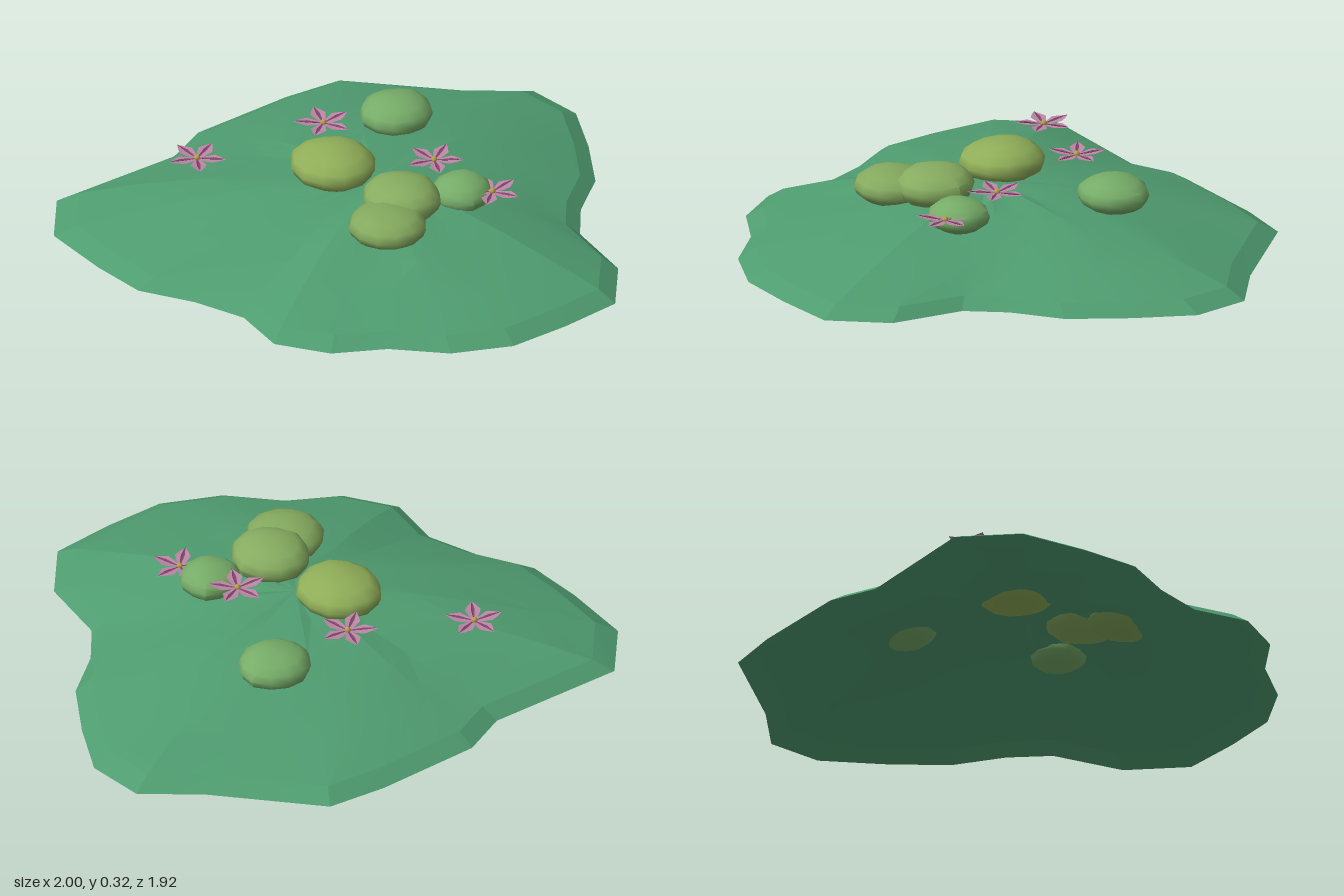
import * as THREE from 'three';
import { toCreasedNormals } from 'three/addons/utils/BufferGeometryUtils.js';

const mat = (color, side = THREE.FrontSide) => new THREE.MeshStandardMaterial({ color, side });

// Irregular outline of the mound on the ground, [x, z]
const OUTLINE = [
  [-0.77, -0.96], [-0.25, -0.89], [-0.07, -0.95], [0.33, -0.91], [0.55, -0.86],
  [0.82, -0.5], [1, -0.32], [1, -0.1], [0.87, 0.1], [0.72, 0.29], [0.54, 0.4],
  [0.42, 0.52], [0.35, 0.79], [0.17, 0.96], [-0.07, 0.95], [-0.3, 0.92],
  [-0.5, 0.8], [-0.64, 0.62], [-0.81, 0.5], [-0.91, 0.31], [-0.86, 0.1],
  [-0.91, -0.1], [-1, -0.3], [-0.99, -0.52], [-0.95, -0.79],
];
// Mound profile from rim to crown: [fraction of radius, height]
const PROFILE = [[1, 0], [0.93, 0.04], [0.75, 0.092], [0.55, 0.142], [0.36, 0.182], [0.17, 0.203]];
const CROWN = [-0.08, 0.21, -0.02];

// Open shell: rings shrink toward the crown, with slight radial ridges
function moundGeometry() {
  const n = OUTLINE.length, pos = [], index = [];
  PROFILE.forEach(([t, h], k) => OUTLINE.forEach(([x, z], i) => {
    const ridge = k > 1 ? 0.005 * Math.sin(i * 2.3 + k * 0.8) : 0;
    pos.push(CROWN[0] + (x - CROWN[0]) * t, h + ridge, CROWN[2] + (z - CROWN[2]) * t);
  }));
  pos.push(...CROWN);
  const last = PROFILE.length - 1, top = n * PROFILE.length;
  for (let i = 0; i < n; i++) {
    const j = (i + 1) % n;
    for (let k = 0; k < last; k++) {
      const a = k * n + i, b = k * n + j;
      index.push(a, a + n, b, b, a + n, b + n);
    }
    index.push(last * n + i, top, last * n + j);
  }
  const g = new THREE.BufferGeometry();
  g.setAttribute('position', new THREE.Float32BufferAttribute(pos, 3));
  g.setIndex(index);
  return toCreasedNormals(g, 0.2);
}

// Flattened, slightly lumpy pad
function padGeometry(seed) {
  const g = new THREE.SphereGeometry(1, 12, 8);
  const p = g.attributes.position, v = new THREE.Vector3();
  for (let i = 0; i < p.count; i++) {
    v.fromBufferAttribute(p, i);
    v.multiplyScalar(1 + 0.035 * Math.sin(4 * v.x + seed) * Math.cos(5 * v.z + seed * 2));
    p.setXYZ(i, v.x, v.y, v.z);
  }
  g.computeVertexNormals();
  return toCreasedNormals(g, 0.75);
}

// Pointed petal along +z, folded along its middle and lifted at the tip
function petalGeometry(width, lift) {
  const rows = [[0, 0.2], [0.035, 0.7], [0.06, 1], [0.085, 0.55], [0.108, 0]];
  const pos = [], index = [];
  rows.forEach(([z, w]) => {
    const y = lift + 0.9 * z * z;
    pos.push(-w * width, y + w * 0.005, z, 0, y, z, w * width, y + w * 0.005, z);
  });
  for (let r = 0; r < rows.length - 1; r++) {
    for (let c = 0; c < 2; c++) {
      const a = r * 3 + c;
      index.push(a, a + 3, a + 1, a + 1, a + 3, a + 4);
    }
  }
  const g = new THREE.BufferGeometry();
  g.setAttribute('position', new THREE.Float32BufferAttribute(pos, 3));
  g.setIndex(index);
  g.computeVertexNormals();
  return g;
}

export function createModel() {
  const model = new THREE.Group();
  model.name = 'floweringMound';
  const add = (parent, name, geometry, material) => {
    const mesh = new THREE.Mesh(geometry, material);
    mesh.name = name;
    parent.add(mesh);
    return mesh;
  };

  add(model, 'mound', moundGeometry(), mat(0x4f9c70, THREE.DoubleSide));

  // Rounded pads: x, y, z, radii x, y, z, colour
  [
    [-0.16, 0.245, -0.16, 0.152, 0.075, 0.162, 0x8fae58],
    [-0.14, 0.238, 0.175, 0.142, 0.073, 0.15, 0x86ac60],
    [-0.285, 0.215, 0.25, 0.143, 0.066, 0.146, 0x84a95e],
    [0.085, 0.206, 0.255, 0.113, 0.064, 0.11, 0x76ac68],
    [0.293, 0.213, -0.3, 0.13, 0.068, 0.136, 0x76ac68],
  ].forEach(([x, y, z, rx, ry, rz, color], i) => {
    const pad = add(model, `pad${i + 1}`, padGeometry(i * 1.7), mat(color));
    pad.position.set(x, y, z);
    pad.scale.set(rx, ry, rz);
    pad.rotation.y = i * 1.1 * (i > 2 ? 1 : 0);
  });

  // Five-petalled star flowers: x, y, z, turn
  const petal = petalGeometry(0.029, 0);
  const stripe = petalGeometry(0.007, 0.002);
  const pink = mat(0xbd86a6, THREE.DoubleSide);
  const plum = mat(0x7d4568, THREE.DoubleSide);
  const yellow = mat(0xb5a04a);
  [
    [-0.43, 0.195, -0.585, 3.1],
    [0, 0.255, -0.375, 0.2],
    [0.105, 0.255, 0.09, 3.2],
    [0.135, 0.225, 0.36, 0.3],
  ].forEach(([x, y, z, turn], i) => {
    const flower = new THREE.Group();
    flower.name = `flower${i + 1}`;
    for (let k = 0; k < 5; k++) {
      const a = (k / 5) * Math.PI * 2;
      add(flower, 'petal', petal, pink).rotation.y = a;
      add(flower, 'petalStripe', stripe, plum).rotation.y = a;
    }
    const heart = add(flower, 'flowerHeart', new THREE.SphereGeometry(0.012, 8, 6), yellow);
    heart.position.y = 0.005;
    flower.position.set(x, y, z);
    flower.rotation.y = turn;
    model.add(flower);
  });

  return model;
}
